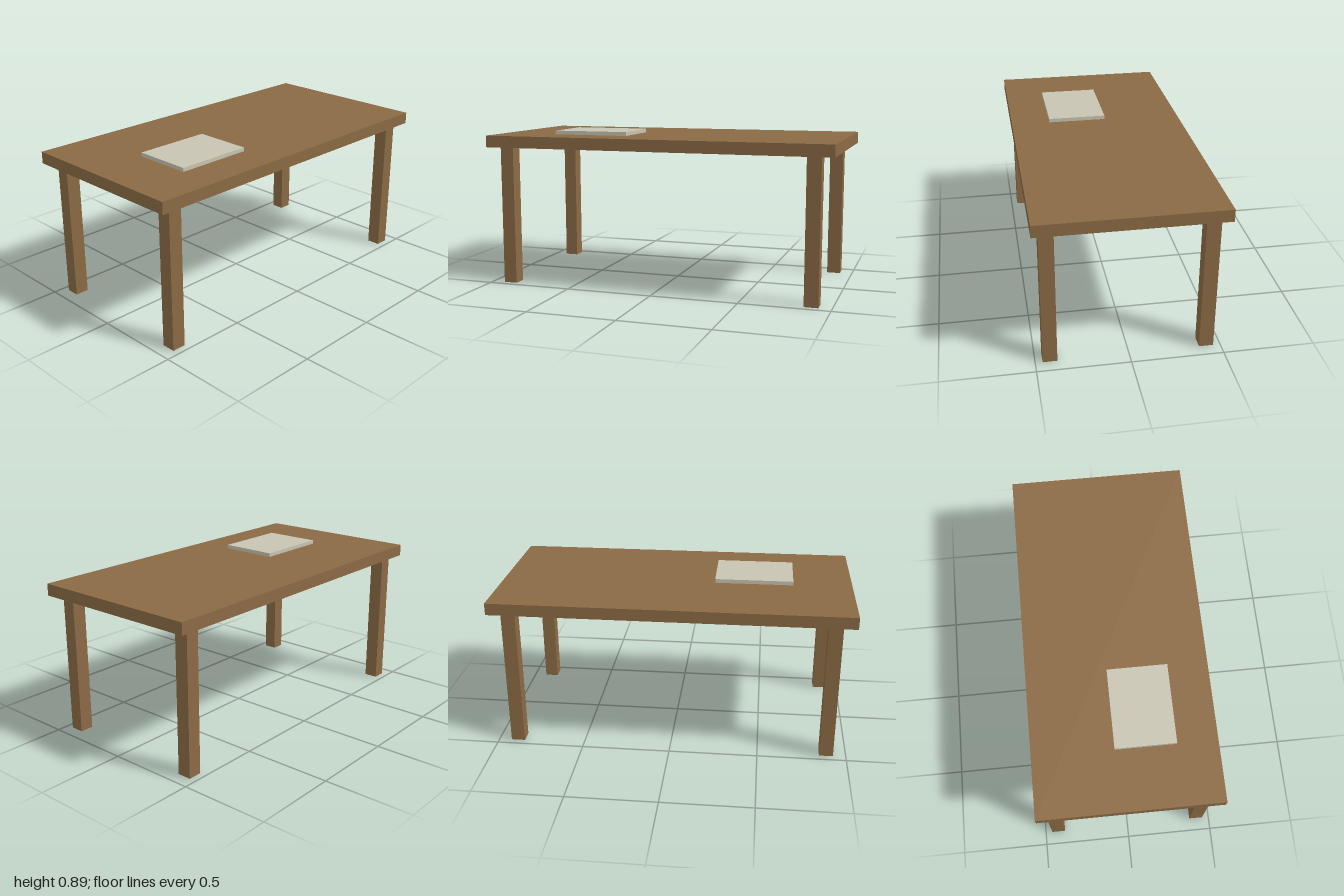
import * as THREE from 'three';

const wood = new THREE.MeshStandardMaterial({ color: 0x8b6a45 });
wood.name = 'wood';
const paper = new THREE.MeshStandardMaterial({ color: 0xc8c4b2 });
paper.name = 'paper';

// Box standing on the height `bottom`, centred on x and z
function addBox(group, name, material, [w, h, d], [x, bottom, z]) {
  const mesh = new THREE.Mesh(new THREE.BoxGeometry(w, h, d), material);
  mesh.name = name;
  mesh.position.set(x, bottom + h / 2, z);
  group.add(mesh);
}

export function createModel() {
  const table = new THREE.Group();
  table.name = 'table';

  const legHeight = 0.8;
  const topThickness = 0.067;

  // Table top
  addBox(table, 'tableTop', wood, [1, topThickness, 2], [0, legHeight, 0]);

  // Four square legs, set in from the corners
  for (const [end, z] of [['front', 0.889], ['back', -0.889]]) {
    for (const [side, x] of [['Left', 0.422], ['Right', -0.422]]) {
      addBox(table, `${end}${side}Leg`, wood, [0.078, legHeight, 0.078], [x, 0, z]);
    }
  }

  // Stack of paper lying towards the front
  addBox(table, 'paperStack', paper, [0.333, 0.022, 0.444], [0.111, legHeight + topThickness, 0.444]);

  return table;
}
